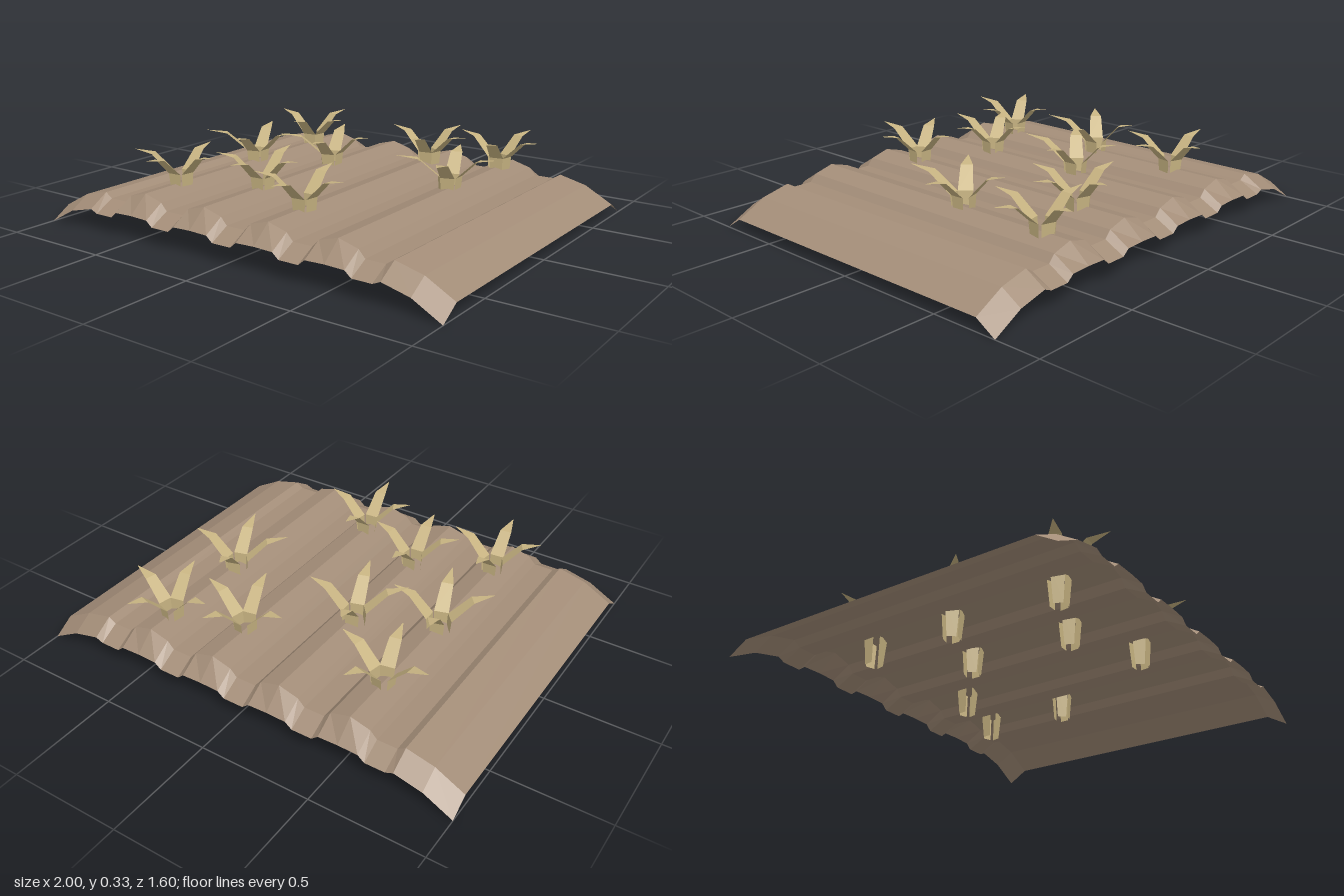
import * as THREE from 'three';

// Lofts equal-length rows of points into a faceted, two-sided sheet
function loft(rows, material, name) {
  const pos = [];
  for (let r = 0; r < rows.length - 1; r++) {
    for (let i = 0; i < rows[r].length - 1; i++) {
      const a = rows[r][i], b = rows[r][i + 1];
      const c = rows[r + 1][i + 1], d = rows[r + 1][i];
      pos.push(...a, ...d, ...c, ...a, ...c, ...b);
    }
  }
  const geo = new THREE.BufferGeometry();
  geo.setAttribute('position', new THREE.Float32BufferAttribute(pos, 3));
  geo.computeVertexNormals();
  const mesh = new THREE.Mesh(geo, material);
  mesh.name = name;
  return mesh;
}

// Ploughed earth: x, height in the middle, height at the sloping ends
function soil(material) {
  const profile = [[-1, 0.055, 0], [-0.87, 0.125, 0.07], [-0.745, 0.155, 0.1]];
  const valley = 0.133, valleyEnd = 0.085;
  profile.push([-0.71, valley, valleyEnd]);
  for (const c of [-0.5, -0.167, 0.167, 0.5]) {
    profile.push(
      [c - 0.12, valley, valleyEnd], [c - 0.09, 0.165, 0.11], [c, 0.19, 0.113],
      [c + 0.09, 0.165, 0.11], [c + 0.12, valley, valleyEnd]);
  }
  profile.push([0.71, valley, valleyEnd], [0.745, 0.155, 0.1], [0.87, 0.125, 0.07], [1, 0.055, 0]);
  const row = (z, k) => profile.map(p => [p[0], p[k], z]);
  return loft([row(-0.8, 2), row(-0.71, 1), row(0.71, 1), row(0.8, 2)], material, 'soilBed');
}

// One folded leaf: radius fraction, height, half width from root to tip
const leafSections = [
  [0.15, 0.065, 0.02], [0.2, 0.235, 0.032], [0.6, 0.317, 0.026], [1, 0.332, 0.001],
];

function leaf(tipX, tipZ, material) {
  const len = Math.hypot(tipX, tipZ);
  const ux = tipX / len, uz = tipZ / len;
  const rows = leafSections.map(([f, y, w]) => [-w, w].map(s => [
    ux * f * len - uz * s, y, uz * f * len + ux * s]));
  return loft(rows, material, 'leaf');
}

// Leaf tip offsets (x, z) and positions of the three sprout variants
const sprouts = [
  {
    tips: [[0.22, 0.045], [0.062, -0.193], [-0.208, -0.018], [0.038, 0.21]],
    at: [[-0.5, -0.468], [0.175, -0.48], [0.497, -0.573]],
  },
  {
    tips: [[0.217, -0.006], [-0.05, -0.177], [-0.178, 0.155], [0.07, 0.242]],
    at: [[-0.18, -0.183], [0.483, -0.14], [-0.51, -0.037]],
  },
  {
    tips: [[0.212, 0.027], [-0.006, -0.2], [-0.182, 0.093], [0.018, 0.228]],
    at: [[-0.175, 0.328], [-0.505, 0.487], [0.163, 0.475]],
  },
];

export function createModel() {
  const model = new THREE.Group();
  model.name = 'cropField';
  const earth = new THREE.MeshStandardMaterial({ color: 0xa38d78, flatShading: true, side: THREE.DoubleSide });
  const straw = new THREE.MeshStandardMaterial({ color: 0xc8b482, flatShading: true, side: THREE.DoubleSide });

  model.add(soil(earth));

  for (const { tips, at } of sprouts) {
    for (const [x, z] of at) {
      const sprout = new THREE.Group();
      sprout.name = 'sprout';
      for (const [tx, tz] of tips) sprout.add(leaf(tx, tz, straw));
      sprout.position.set(x, 0, z);
      model.add(sprout);
    }
  }
  return model;
}
